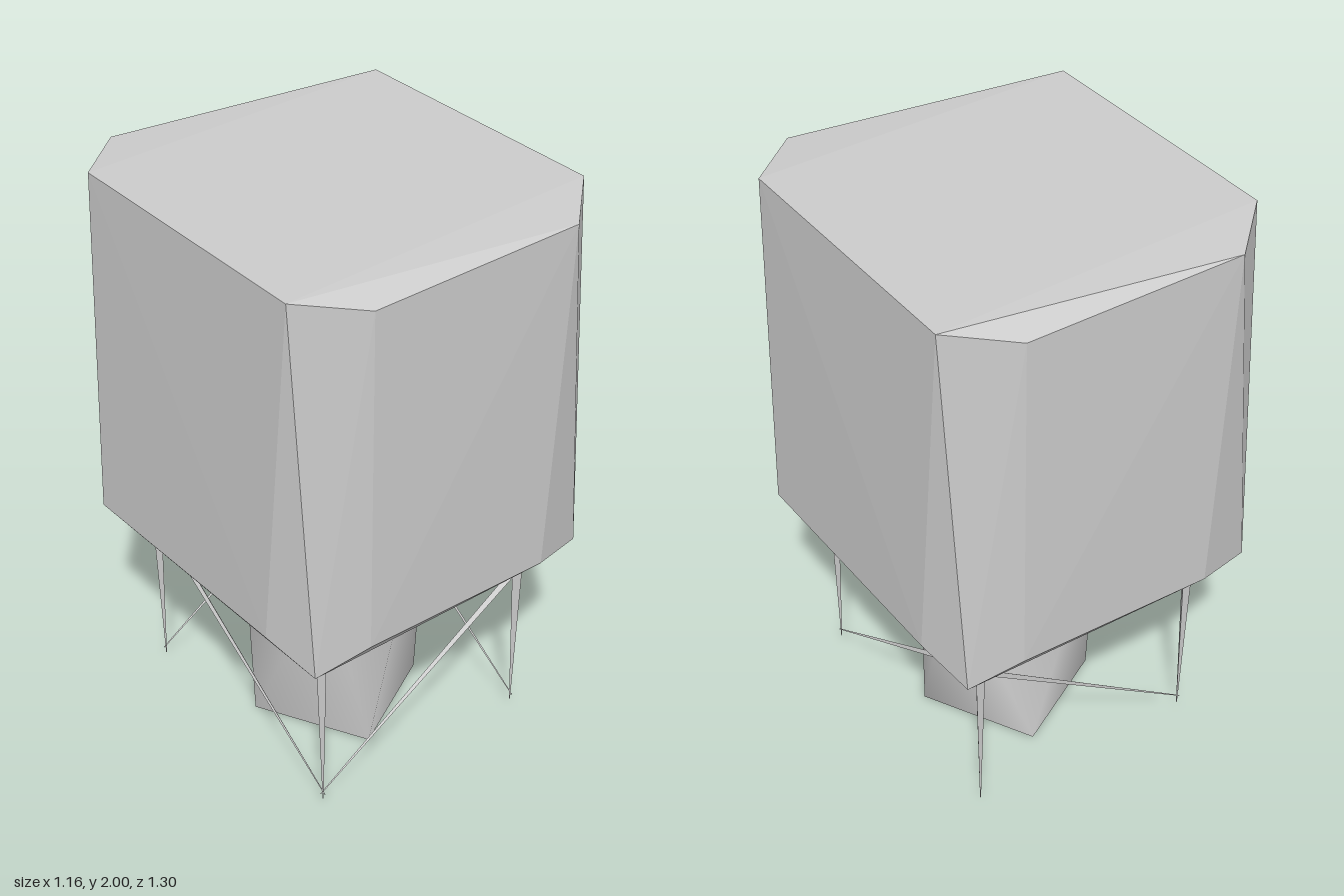
import * as THREE from 'three';
import { ConvexGeometry } from 'three/addons/geometries/ConvexGeometry.js';

const V = (x, y, z) => new THREE.Vector3(x, y, z);

export function createModel() {
  const group = new THREE.Group();
  const flat = new THREE.MeshStandardMaterial({ color: 0xcccccc, flatShading: true });
  const thin = new THREE.MeshStandardMaterial({ color: 0xcccccc, flatShading: true, side: THREE.DoubleSide });
  const smooth = new THREE.MeshStandardMaterial({ color: 0xcccccc, side: THREE.DoubleSide });

  const add = (name, geometry, material) => {
    const mesh = new THREE.Mesh(geometry, material);
    mesh.name = name;
    group.add(mesh);
    return mesh;
  };

  // Tank: chamfered block, its front half repeated by a half turn about y
  const half = [
    V(-0.57, 2, 0.53), V(-0.345, 1.945, 0.63), V(0.38, 1.985, 0.65), V(0.58, 2, 0.455),
    V(0.565, 0.72, 0.55), V(0.345, 0.77, 0.63), V(-0.345, 0.77, 0.63),
    V(-0.515, 0.695, 0.575), V(-0.572, 0.77, 0.4), V(0.13, 0.685, 0.55),
  ];
  add('tank', new ConvexGeometry([...half, ...half.map(p => V(-p.x, p.y, -p.z))]), flat);

  // Column: open tube from a turned square foot to a five-sided top
  const foot = [[0.29, 0.08], [-0.08, 0.292], [-0.29, -0.08], [0.08, -0.292]];
  const head = [[0.285, -0.11], [0.22, 0.2], [0.07, 0.308], [-0.2, 0.22], [-0.285, -0.13]];
  const ring = [
    ...foot.map(([x, z]) => V(x, 0, z)),
    ...head.map(([x, z]) => V(x, 0.69, z)),
  ];
  const column = new THREE.BufferGeometry().setFromPoints(ring);
  column.setIndex([
    1, 0, 6, 0, 4, 5, 0, 5, 6, 1, 6, 7, 2, 1, 7,
    2, 7, 8, 3, 2, 8, 3, 8, 4, 0, 3, 4,
  ]);
  column.computeVertexNormals();
  add('column', column, smooth);

  // Three-sided tapered rod between a low and a high point
  const rod = (name, low, high, rLow, rHigh) => {
    const dir = high.clone().sub(low);
    const mesh = add(name, new THREE.CylinderGeometry(rHigh, rLow, dir.length(), 3), thin);
    mesh.position.copy(low).add(high).multiplyScalar(0.5);
    mesh.quaternion.setFromUnitVectors(V(0, 1, 0), dir.normalize());
  };

  // Legs: spikes at the four corners
  const X = 0.405, Z = 0.465;
  for (const sx of [-1, 1])
    for (const sz of [-1, 1])
      rod('leg', V(sx * X, 0.05, sz * Z), V(sx * X, 0.675, sz * Z), 0.002, 0.021);

  // Braces: one diagonal on each side
  for (const s of [-1, 1]) {
    rod('crossBrace', V(-X - 0.01, 0.075, s * Z), V(X, 0.625, s * Z), 0.002, 0.012);
    rod('sideBrace', V(s * X, 0.075, Z + 0.01), V(s * X, 0.645, -Z), 0.002, 0.012);
  }
  return group;
}
